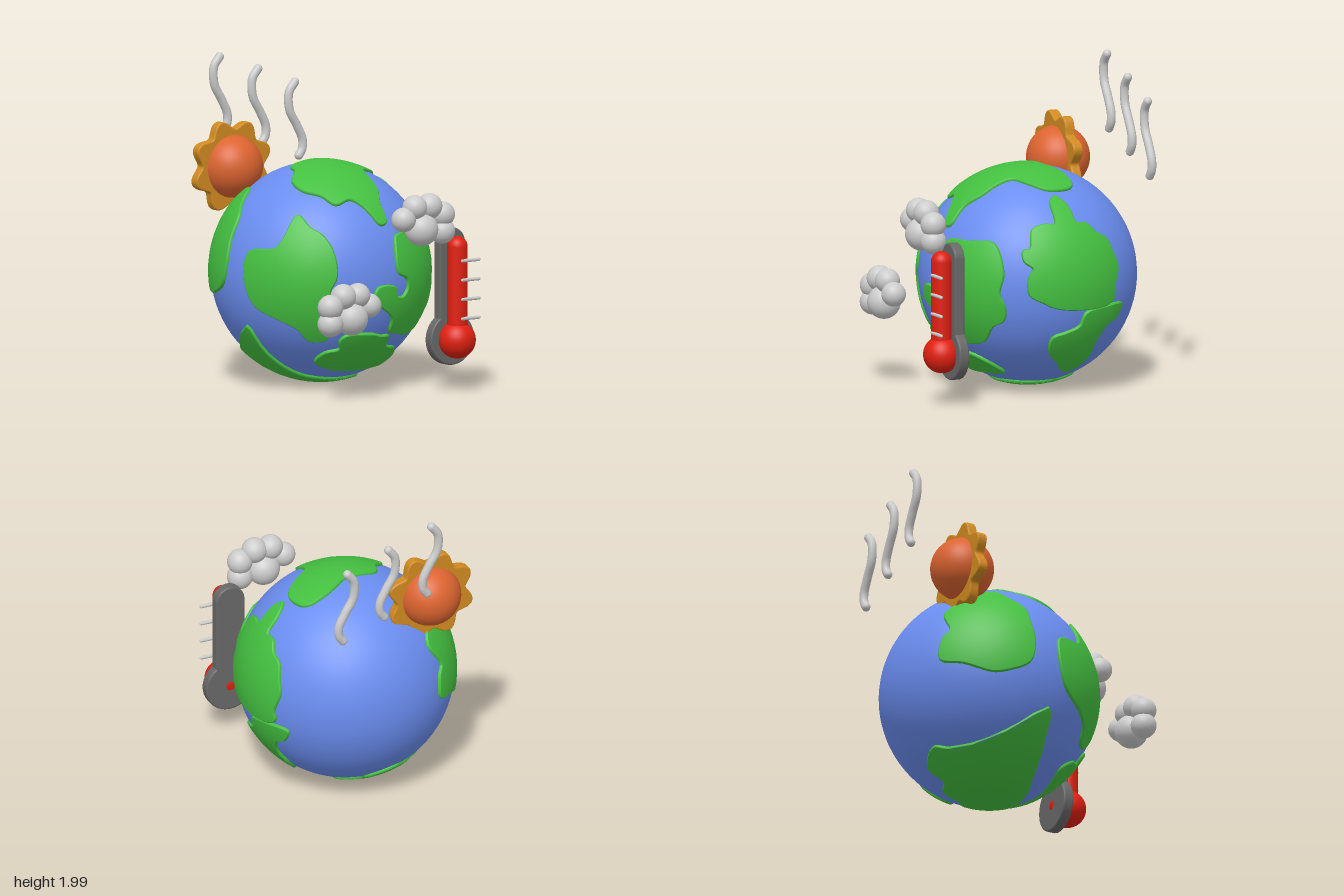
import * as THREE from 'three';
import { mergeGeometries } from 'three/addons/utils/BufferGeometryUtils.js';

const CENTRE = new THREE.Vector3(0, 0.7, -0.11);
const OCEAN_R = 0.674, LAND_R = 0.69;

const mat = (color, extra = {}) => new THREE.MeshStandardMaterial({ color, ...extra });
const OCEAN = mat(0x6a8df0), LAND = mat(0x44c040), CLOUD = mat(0xcccccc), VAPOUR = mat(0xcccccc);
const BALL = mat(0xdc6430), RAYS = mat(0xd08a20), RED = mat(0xe02010), BACKING = mat(0x686868);

function add(parent, name, geometry, material, x = 0, y = 0, z = 0) {
  const mesh = new THREE.Mesh(geometry, material);
  mesh.name = name;
  mesh.position.set(x, y, z);
  parent.add(mesh);
  return mesh;
}

function subgroup(parent, name) {
  const g = new THREE.Group();
  g.name = name;
  parent.add(g);
  return g;
}

// Directions on the globe from flat points, projected along a given azimuth and elevation
function onGlobe(azimuth, elevation, points) {
  const a = THREE.MathUtils.degToRad(azimuth), e = THREE.MathUtils.degToRad(elevation);
  const right = new THREE.Vector3(Math.cos(a), 0, -Math.sin(a));
  const toward = new THREE.Vector3(Math.sin(a) * Math.cos(e), Math.sin(e), Math.cos(a) * Math.cos(e));
  const up = toward.clone().cross(right);
  return points.map(([x, y]) => {
    const u = x - CENTRE.dot(right), v = y - CENTRE.dot(up);
    const w = Math.sqrt(Math.max(0, LAND_R ** 2 - u * u - v * v));
    return new THREE.Vector3().addScaledVector(right, u).addScaledVector(up, v).addScaledVector(toward, w).normalize();
  });
}

// Raised land: outline flattened round its middle, filled, then wrapped back on the sphere
function landGeometry(directions) {
  const mid = directions.reduce((s, d) => s.add(d), new THREE.Vector3()).normalize();
  const e1 = new THREE.Vector3(0.31, 0.52, 0.79).cross(mid).normalize();
  const e2 = mid.clone().cross(e1);
  const flat = directions.map((d) => {
    const angle = Math.acos(THREE.MathUtils.clamp(d.dot(mid), -1, 1));
    return new THREE.Vector3(d.dot(e1), d.dot(e2), 0).setLength(angle);
  });
  const curve = new THREE.CatmullRomCurve3(flat, true);
  const outline = curve.getPoints(flat.length * 4).slice(0, -1).map((p) => new THREE.Vector2(p.x, p.y));
  if (THREE.ShapeUtils.isClockWise(outline)) outline.reverse();
  const wrap = (p, r) => {
    const t = p.length(), s = t > 1e-6 ? Math.sin(t) / t : 1;
    return mid.clone().multiplyScalar(Math.cos(t)).addScaledVector(e1, p.x * s).addScaledVector(e2, p.y * s).multiplyScalar(r);
  };

  // Top surface, each triangle split so that it follows the curve
  const pos = [], N = 8;
  for (const [a, b, c] of THREE.ShapeUtils.triangulateShape(outline, []).map((t) => t.map((i) => outline[i]))) {
    const at = (i, j) => wrap(a.clone().multiplyScalar(N - i - j).addScaledVector(b, i).addScaledVector(c, j).divideScalar(N), LAND_R);
    for (let i = 0; i < N; i++) for (let j = 0; j < N - i; j++) {
      pos.push(...at(i, j), ...at(i + 1, j), ...at(i, j + 1));
      if (i + j < N - 1) pos.push(...at(i + 1, j), ...at(i + 1, j + 1), ...at(i, j + 1));
    }
  }
  const top = new THREE.BufferGeometry();
  top.setAttribute('position', new THREE.Float32BufferAttribute(pos, 3));
  const normals = top.attributes.position.clone();
  for (let i = 0; i < normals.count; i++) {
    const n = new THREE.Vector3().fromBufferAttribute(normals, i).normalize();
    normals.setXYZ(i, n.x, n.y, n.z);
  }
  top.setAttribute('normal', normals);

  // Rounded rim going down into the ocean
  const rim = [], index = [], n = outline.length;
  const rings = [[0, LAND_R], [0.008, LAND_R - 0.004], [0.013, LAND_R - 0.012], [0.014, OCEAN_R - 0.012]];
  rings.forEach(([out, r], k) => outline.forEach((p, i) => {
    const t = outline[(i + 1) % n].clone().sub(outline[(i + n - 1) % n]).normalize();
    rim.push(...wrap(new THREE.Vector2(p.x + t.y * out, p.y - t.x * out), r));
    if (k) {
      const j = (i + 1) % n, lo = k * n, hi = lo - n;
      index.push(lo + i, lo + j, hi + j, lo + i, hi + j, hi + i);
    }
  }));
  const side = new THREE.BufferGeometry();
  side.setAttribute('position', new THREE.Float32BufferAttribute(rim, 3));
  side.setIndex(index);
  side.computeVertexNormals();
  return mergeGeometries([top, side.toNonIndexed()]);
}

const LANDS = {
  northLand: onGlobe(0, 90, [[0.2, 0.26], [0.3, 0.265], [0.35, 0.23], [0.375, 0.13], [0.36, 0.06], [0.28, -0.02], [0.18, -0.09],
    [0.16, -0.18], [0.15, -0.29], [0.1, -0.38], [0.09, -0.47], [0.04, -0.48], [0, -0.44], [-0.04, -0.39], [-0.1, -0.345],
    [-0.2, -0.34], [-0.25, -0.25], [-0.315, -0.15], [-0.31, -0.03], [-0.23, 0.05], [-0.19, 0.15], [-0.05, 0.175], [0.05, 0.19], [0.12, 0.23]]),
  leftLand: onGlobe(90, 0, [[0.09, 1.25], [0.15, 1.19], [0.17, 1.1], [0.24, 1.09], [0.3, 1.03], [0.37, 0.99], [0.41, 0.9], [0.44, 0.81],
    [0.405, 0.68], [0.41, 0.62], [0.345, 0.58], [0.2, 0.57], [0.04, 0.58], [-0.04, 0.6], [-0.1, 0.63], [-0.18, 0.68], [-0.18, 0.79],
    [-0.15, 0.84], [-0.2, 0.89], [-0.195, 0.95], [-0.155, 0.96], [-0.12, 1.07], [-0.04, 1.1], [0.03, 1.1], [0.05, 1.22]]),
  lowerLeftLand: onGlobe(90, 0, [[0.485, 0.565], [0.44, 0.48], [0.37, 0.445], [0.31, 0.34], [0.3, 0.24], [0.23, 0.15], [0.165, 0.135],
    [0.085, 0.205], [-0.005, 0.295], [-0.01, 0.39], [0.07, 0.42], [0.16, 0.46], [0.19, 0.54], [0.31, 0.565]]),
  frontLand: [
    ...onGlobe(0, 0, [[0.14, 0.975], [0.12, 0.92], [0.12, 0.76], [0.195, 0.715], [0.205, 0.65], [0.16, 0.595], [0.105, 0.605], [0.095, 0.66],
      [-0.04, 0.67], [-0.065, 0.59], [0, 0.545], [0.095, 0.47], [0.105, 0.38], [0.21, 0.355]]),
    ...onGlobe(90, 0, [[-0.425, 0.34], [-0.37, 0.365], [-0.355, 0.47], [-0.31, 0.51], [-0.315, 0.6], [-0.345, 0.68], [-0.32, 0.81],
      [-0.34, 0.985], [-0.44, 0.985]])],
  rightLand: onGlobe(0, 0, [[-0.42, 1.12], [-0.395, 1.05], [-0.35, 1.01], [-0.315, 0.915], [-0.31, 0.76], [-0.35, 0.66], [-0.33, 0.52],
    [-0.3, 0.41], [-0.32, 0.345], [-0.4, 0.345], [-0.465, 0.415], [-0.545, 0.47], [-0.64, 0.55], [-0.67, 0.65], [-0.67, 0.8],
    [-0.645, 0.89], [-0.57, 0.92], [-0.52, 0.99], [-0.475, 1.06]]),
  backRightLand: onGlobe(221, 28, [[-0.14, 0.59], [-0.08, 0.43], [-0.125, 0.38], [-0.14, 0.245], [0.01, 0.21], [0.18, 0.18], [0.27, 0.21],
    [0.39, 0.31], [0.41, 0.45], [0.375, 0.58], [0.32, 0.71], [0.23, 0.77], [0.1, 0.85], [-0.02, 0.72]]),
  lowerFrontLand: onGlobe(0, 0, [[-0.2, 0.37], [-0.04, 0.37], [0.04, 0.35], [0.105, 0.345], [0.115, 0.28], [0.22, 0.25], [0.275, 0.19],
    [0.265, 0.135], [0.14, 0.125], [-0.04, 0.12], [-0.175, 0.135], [-0.295, 0.19], [-0.28, 0.255], [-0.21, 0.28], [-0.23, 0.335]]),
  southLand: [
    ...onGlobe(139, -25, [[-0.155, 0.055], [-0.065, 0.155], [0.035, 0.155], [0.12, 0.21], [0.255, 0.21], [0.31, 0.3], [0.48, 0.335], [0.5, 0.27]]),
    ...onGlobe(0, 0, [[-0.62, 0.41], [-0.5, 0.24], [-0.28, 0.09], [-0.1, 0.05]])],
};

export function createModel() {
  const model = new THREE.Group();
  model.name = 'warmingGlobe';

  // Globe
  const globe = subgroup(model, 'globe');
  globe.position.copy(CENTRE);
  add(globe, 'ocean', new THREE.SphereGeometry(OCEAN_R, 64, 40), OCEAN);
  for (const [name, outline] of Object.entries(LANDS)) add(globe, name, landGeometry(outline), LAND);

  // Sun: ball with a wavy eight-pointed disc
  const sun = subgroup(model, 'sun');
  sun.position.set(-0.388, 1.333, -0.51);
  add(sun, 'sunBall', new THREE.SphereGeometry(0.197, 40, 28), BALL);
  const wavy = [];
  for (let i = 0; i < 160; i++) {
    const a = i / 160 * Math.PI * 2, r = 0.252 + 0.03 * Math.cos(8 * (a - 0.33));
    wavy.push(new THREE.Vector2(r * Math.cos(a), r * Math.sin(a)));
  }
  const bevel = (depth, size) => ({ depth, bevelThickness: size, bevelSize: size, bevelSegments: 3, curveSegments: 32 });
  add(sun, 'sunRays', new THREE.ExtrudeGeometry(new THREE.Shape(wavy), bevel(0.045, 0.01)), RAYS, 0, 0, -0.026);

  // Heat wisps: wavy tubes with round ends
  const wave = new THREE.CatmullRomCurve3([[-0.275, 1.97], [-0.318, 1.91], [-0.315, 1.8], [-0.26, 1.7], [-0.218, 1.61], [-0.22, 1.55], [-0.245, 1.51]]
    .map(([x, y]) => new THREE.Vector3(x, y, -0.79)));
  [[0, 0], [0.29, -0.1], [0.567, -0.207]].forEach(([x, y]) => {
    const wisp = subgroup(model, 'heatWisp');
    wisp.position.set(x, y, 0);
    add(wisp, 'wispTube', new THREE.TubeGeometry(wave, 40, 0.027, 14), VAPOUR);
    for (const t of [0, 1]) add(wisp, 'wispEnd', new THREE.SphereGeometry(0.027, 14, 10), VAPOUR, ...wave.getPoint(t));
  });

  // Clouds: the same puffs, mirrored for one of them
  const puffs = [[0, 0, 0.104], [-0.135, 0.07, 0.076], [-0.05, 0.14, 0.077], [0.06, 0.14, 0.08], [0.157, 0.082, 0.079], [0.157, -0.022, 0.08]];
  for (const [cx, cy, side] of [[-0.345, 0.525, -1], [0.185, 1.035, 1]]) {
    const cloud = subgroup(model, 'cloud');
    cloud.position.set(cx, cy, 0.705);
    for (const [x, y, r] of puffs) add(cloud, 'cloudPuff', new THREE.SphereGeometry(r, 28, 20), CLOUD, x * side, y);
  }

  // Thermometer
  const thermometer = subgroup(model, 'thermometer');
  thermometer.position.set(0.456, 0.325, 0);
  const w = 0.085, R = 0.152, a = Math.asin(w / R);
  const plate = new THREE.Shape();
  plate.absarc(0, 0, R, Math.PI / 2 + a, Math.PI * 2.5 - a, false);
  plate.absarc(0, 0.595, w, 0, Math.PI, false);
  add(thermometer, 'thermometerBacking', new THREE.ExtrudeGeometry(plate, bevel(0.046, 0.011)), BACKING, 0, 0, 0.601);
  add(thermometer, 'thermometerBulb', new THREE.SphereGeometry(0.116, 36, 24), RED, 0, 0, 0.702);
  add(thermometer, 'thermometerTube', new THREE.CapsuleGeometry(0.064, 0.58, 10, 28), RED, 0, 0.291, 0.705);
  for (let i = 0; i < 4; i++) {
    const tick = add(thermometer, 'scaleMark', new THREE.CapsuleGeometry(0.011, 0.125, 5, 10), CLOUD, 0.057, 0.138 + i * 0.12, 0.765);
    tick.rotation.z = Math.PI / 2;
  }
  return model;
}
